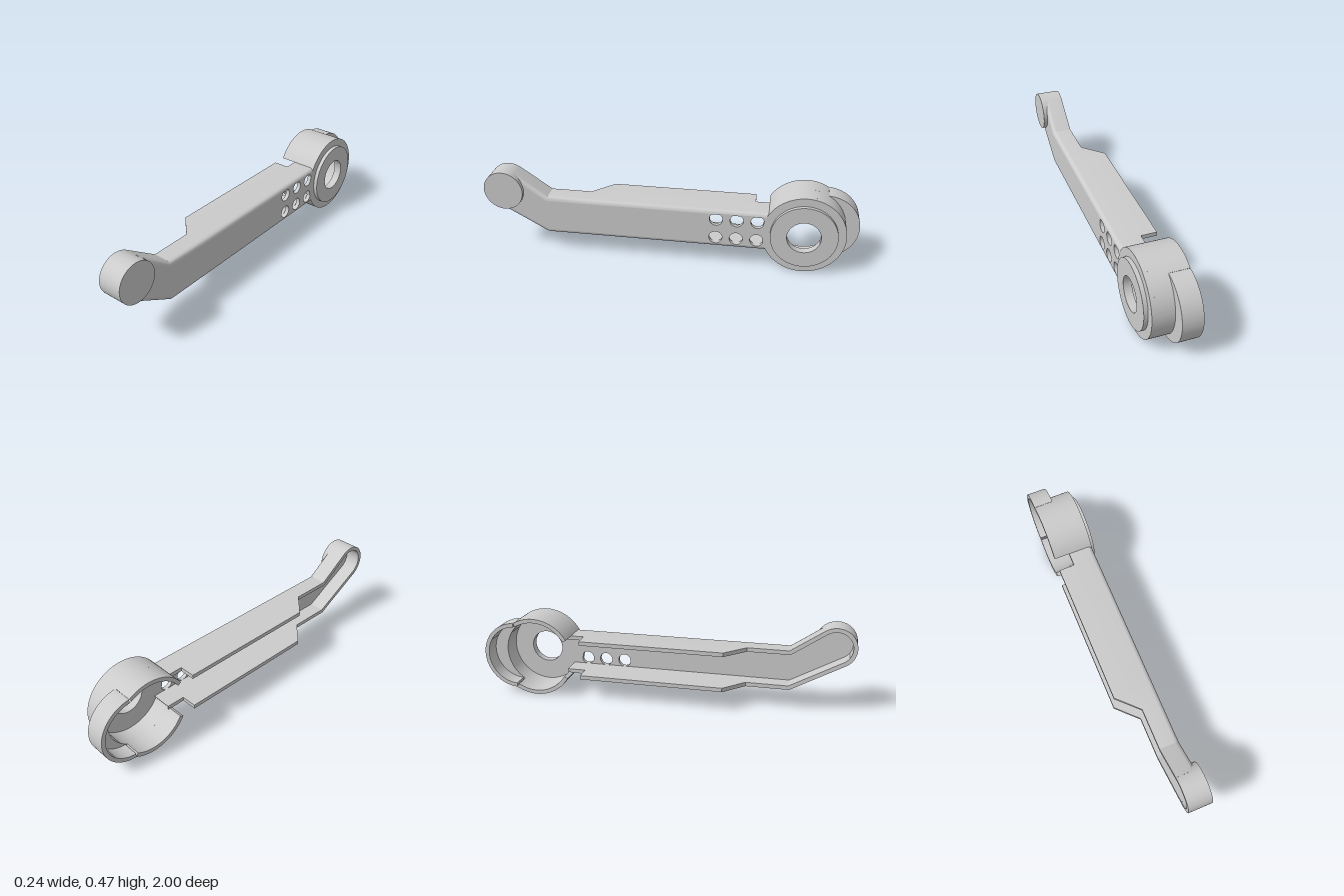
import * as THREE from 'three';
import { toCreasedNormals } from 'three/addons/utils/BufferGeometryUtils.js';

const T = 0.022;                         // wall thickness
const FLOOR = 0.075, FACE = 0.097, BOSS = 0.118; // x levels of the closed side
const OPEN = -0.12;                      // x level of the open side
const RING = { u: 0.71, y: 0.217, r: 0.217 };
const LOBE = { u: 0.815, y: 0.217, r: 0.185 };
const CUP = { u: -0.893, y: 0.358, r: 0.107 };
const rad = (d) => d * Math.PI / 180;

export function createModel() {
  const group = new THREE.Group();
  const material = new THREE.MeshStandardMaterial({ color: 0xcccccc });

  const add = (name, geometry) => {
    const mesh = new THREE.Mesh(toCreasedNormals(geometry, 0.5), material);
    mesh.name = name;
    group.add(mesh);
  };

  // Side outline (u = -z, y) extruded across x
  const slab = (name, shape, x0, x1) => {
    const g = new THREE.ExtrudeGeometry(shape, { depth: x1 - x0, bevelEnabled: false, curveSegments: 64 });
    g.translate(0, 0, x0).rotateY(Math.PI / 2);
    add(name, g);
  };
  const circle = (c, r) => new THREE.Path().absarc(c.u, c.y, r, 0, Math.PI * 2, false);
  const disc = (c, r, hole) => {
    const s = new THREE.Shape().absarc(c.u, c.y, r, 0, Math.PI * 2, false);
    if (hole) s.holes.push(circle(c, hole));
    return s;
  };
  // Curved wall between two angles, measured from the rear
  const wall = (c, a0, a1) => new THREE.Shape()
    .absarc(c.u, c.y, c.r, rad(a0), rad(a1), false)
    .absarc(c.u, c.y, c.r - T, rad(a1), rad(a0), true);

  // Flange stations: z, y, x of the open edge
  const straight = (y) => [
    [-0.55, y, -0.035], [-0.45, y, -0.035], [-0.449, y, OPEN],
    [0.33, y, OPEN], [0.44, y, -0.01],
  ];
  const topPath = [...straight(0.327), [0.66, 0.327, -0.01], [0.833, 0.447, -0.01]];
  const lowPath = [...straight(0.11), [0.67, 0.11, -0.01], [0.945, 0.265, -0.01]];

  // Inward mitre direction at every station
  const mitres = (path, side) => {
    const seg = path.slice(1).map((p, i) =>
      new THREE.Vector2(p[1] - path[i][1], path[i][0] - p[0]).normalize().multiplyScalar(side));
    return path.map((_, i) => {
      const a = seg[Math.max(i - 1, 0)], b = seg[Math.min(i, seg.length - 1)];
      const m = a.clone().add(b).normalize();
      return m.divideScalar(m.dot(a));
    });
  };

  // Flange with rounded outer corner, lofted along its path
  const flange = (name, path, side) => {
    const inward = mitres(path, side);
    const pos = [], index = [];
    let n = 0;
    path.forEach(([z, y, edge], i) => {
      const section = [[edge, T], [edge, 0]];
      for (let k = 0; k <= 6; k++) {
        const a = k / 6 * Math.PI / 2;
        section.push([FLOOR + T * Math.sin(a), T * (1 - Math.cos(a))]);
      }
      section.push([FLOOR, T]);
      n = section.length;
      section.forEach(([x, d]) => pos.push(x, y + inward[i].y * d, z + inward[i].x * d));
    });
    for (let s = 0; s < path.length - 1; s++) {
      for (let p = 0; p < n; p++) {
        const a = s * n + p, b = s * n + (p + 1) % n, c = a + n, d = b + n;
        if (side > 0) index.push(a, c, b, b, c, d);
        else index.push(a, b, c, b, d, c);
      }
    }
    const g = new THREE.BufferGeometry();
    g.setAttribute('position', new THREE.Float32BufferAttribute(pos, 3));
    g.setIndex(index);
    add(name, g);
    return path.map(([z, y], i) => new THREE.Vector2(-(z + inward[i].x * T), y + inward[i].y * T));
  };
  const topEdge = flange('upperFlange', topPath, 1);
  const lowEdge = flange('lowerFlange', lowPath, -1);

  // Flat web between the flanges, with six lightening holes
  const web = new THREE.Shape([...topEdge, ...lowEdge.reverse()]);
  for (const u of [0.252, 0.36, 0.468]) {
    for (const y of [0.167, 0.275]) web.holes.push(circle({ u, y }, 0.035));
  }
  slab('armWeb', web, FLOOR, FACE);

  // Rear housing: pierced end plate, raised boss and a wall open toward the arm
  slab('ringPlate', disc(RING, RING.r, 0.088), FLOOR, FACE);
  slab('ringBoss', disc(RING, 0.174, 0.088), FACE, BOSS);
  slab('ringInnerWall', wall(RING, -149.6, 149.6), -0.015, FLOOR);
  slab('ringUpperWall', wall(RING, 58.4, 149.6), OPEN, -0.015);
  slab('ringLowerWall', wall(RING, -149.6, -58.4), OPEN, -0.015);

  // Rear lobe: offset wall with a crescent shelf
  slab('lobeWall', wall(LOBE, -87, 87), OPEN, -0.015);
  const shelf = new THREE.Shape()
    .absarc(LOBE.u, LOBE.y, LOBE.r - 0.005, rad(-87), rad(87), false)
    .absarc(RING.u, RING.y, RING.r - T, rad(62), rad(-62), true);
  slab('lobeShelf', shelf, -0.034, -0.015);

  // Front cup: closed cap and a wall open toward the arm
  slab('cupCap', disc(CUP, CUP.r), FLOOR, BOSS);
  slab('cupWall', wall(CUP, 56, 240.7), -0.01, FLOOR);

  return group;
}
